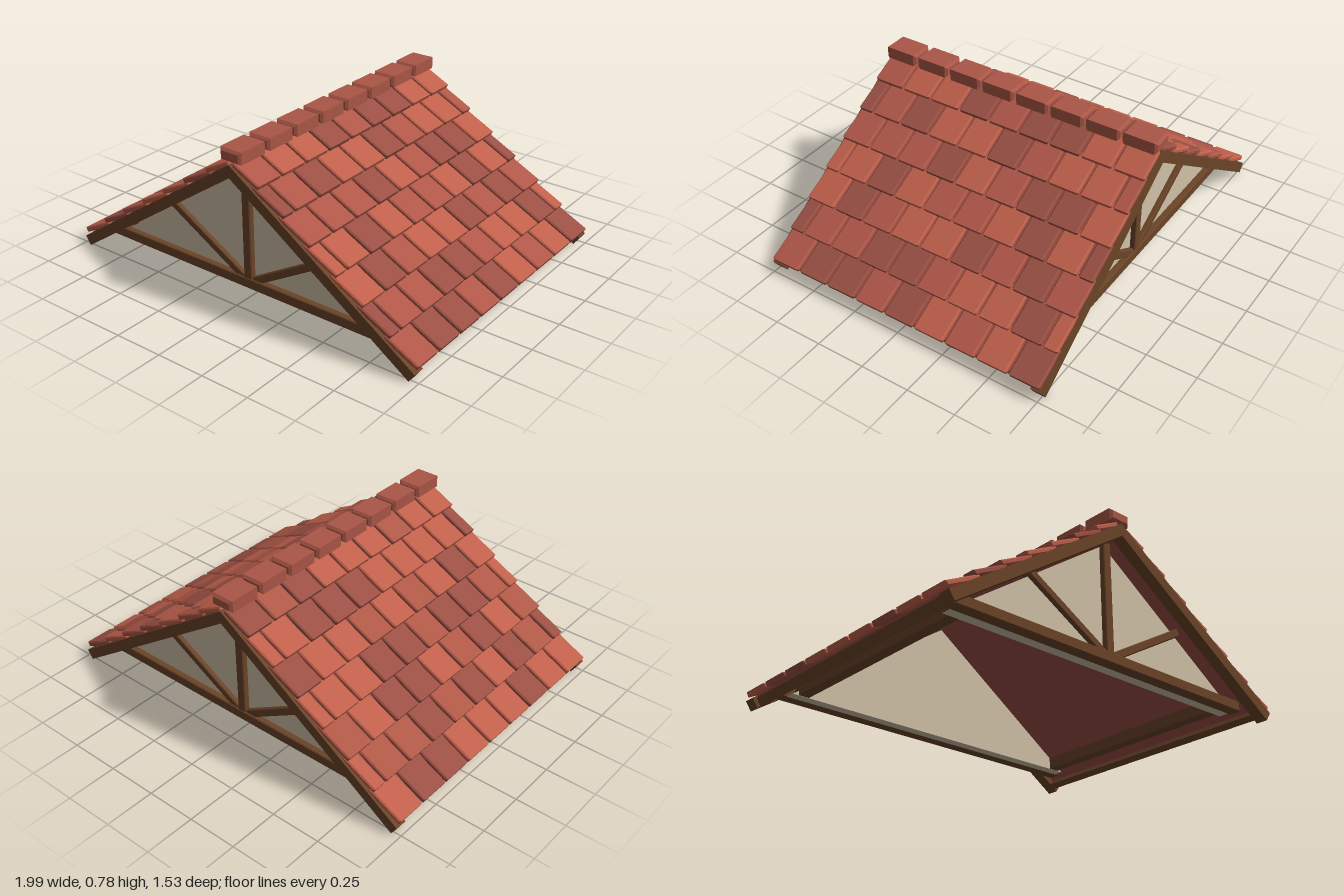
import * as THREE from 'three';

const PITCH = Math.atan(0.68); // roof slope
const APEX = 0.72;             // height where the two deck surfaces meet
const STEP = 0.169;            // tile spacing along and across the slope

const material = (color) => new THREE.MeshStandardMaterial({ color, flatShading: true });
const wood = material(0x6b4428);
const plaster = material(0xd2c3a8);
const deckRed = material(0x9c5044);
const capRed = material(0xaa5646);
const tileReds = [0xc0604c, 0xb05848, 0x9c5044].map(material);

// Box with chamfered edges, centred on its origin
function chamferBox(w, h, d, b = 0.004) {
  const x = w / 2 - b, y = h / 2 - b;
  const shape = new THREE.Shape([[-x, -y], [x, -y], [x, y], [-x, y]].map((p) => new THREE.Vector2(...p)));
  return new THREE.ExtrudeGeometry(shape, {
    depth: d - 2 * b, bevelEnabled: true, bevelThickness: b, bevelSize: b, bevelSegments: 1,
  }).translate(0, 0, -d / 2 + b);
}

// Flat outline in x/y given thickness from z0 to z1
function slab(points, z0, z1) {
  const shape = new THREE.Shape(points.map((p) => new THREE.Vector2(...p)));
  return new THREE.ExtrudeGeometry(shape, { depth: z1 - z0, bevelEnabled: false }).translate(0, 0, z0);
}

function add(parent, name, geometry, mat, x = 0, y = 0, z = 0) {
  const mesh = new THREE.Mesh(geometry, mat);
  mesh.name = name;
  mesh.position.set(x, y, z);
  parent.add(mesh);
  return mesh;
}

// Repeatable choice of tile shade
function shade(row, i, side) {
  const n = Math.sin(row * 12.99 + i * 78.23 + side * 37.7) * 43758.55;
  return tileReds[Math.floor((n - Math.floor(n)) * 3)];
}

// One roof side; local x runs down the slope, local y is its normal
function createSlope(side) {
  const slope = new THREE.Group();
  slope.name = 'roofSlope';
  slope.position.y = APEX;
  slope.rotation.z = -PITCH;

  add(slope, 'deck', new THREE.BoxGeometry(1.155, 0.022, 1.48), deckRed, 0.5875, -0.011, 0);
  add(slope, 'eaveBoard', chamferBox(0.035, 0.045, 1.47), wood, 1.157, -0.0325, 0);

  // Overlapping tiles, every second row shifted by half a tile
  const tilt = 0.13, gap = 0.013;
  for (let row = 0; row < 7; row++) {
    const length = row === 6 ? 0.16 : 0.195;
    const full = chamferBox(length, 0.026, STEP - gap, 0.006);
    const half = chamferBox(length, 0.026, STEP / 2 - gap, 0.006);
    const shifted = row % 2 === 1;
    const count = shifted ? 10 : 9;
    for (let i = 0; i < count; i++) {
      const end = shifted && (i === 0 || i === count - 1);
      let z = (i - (count - 1) / 2) * STEP;
      if (end) z -= Math.sign(z) * STEP / 4;
      const tile = add(slope, 'roofTile', end ? half : full, shade(row, i, side),
        1.185 - row * STEP - length / 2, 0.022 - Math.sin(tilt) * length / 2, z);
      tile.rotation.z = tilt;
    }
  }

  const holder = new THREE.Group();
  holder.name = side ? 'leftRoofSide' : 'rightRoofSide';
  holder.rotation.y = side ? 0 : Math.PI;
  holder.add(slope);
  return holder;
}

// Gable end facing +z: rafters, infill panel and truss
function createGable() {
  const gable = new THREE.Group();
  const c = Math.cos(PITCH), s = Math.sin(PITCH);
  const at = (d, n) => [d * c + n * s, APEX - d * s + n * c];
  const top = at(1.195, -0.002), foot = at(1.195, -0.055);
  const inner = APEX - 0.055 / c;
  add(gable, 'rafterPair', slab([
    [0, APEX - 0.003], [-top[0], top[1]], [-foot[0], foot[1]],
    [0, inner], foot, top,
  ], 0.705, 0.765), wood);

  add(gable, 'gablePanel', slab([[-0.86, 0.057], [0.86, 0.057], [0, 0.655]], 0.56, 0.64), plaster);
  add(gable, 'tieBeam', chamferBox(1.76, 0.052, 0.06), wood, 0, 0.081, 0.64);
  add(gable, 'kingPost', chamferBox(0.046, 0.56, 0.055), wood, 0, 0.38, 0.64);

  // Diagonal braces
  for (const m of [-1, 1]) {
    const dx = 0.44, dy = 0.255;
    const brace = add(gable, 'brace', chamferBox(Math.hypot(dx, dy), 0.038, 0.05), wood,
      m * 0.25, 0.225, 0.638);
    brace.rotation.z = m * Math.atan2(dy, dx);
  }
  return gable;
}

export function createModel() {
  const roof = new THREE.Group();
  roof.name = 'tiledRoof';
  roof.add(createSlope(1), createSlope(0));

  // Front and back gables
  for (const [name, turn] of [['frontGable', 0], ['backGable', Math.PI]]) {
    const gable = createGable();
    gable.name = name;
    gable.rotation.y = turn;
    roof.add(gable);
  }

  // Wall plates along both sides
  for (const m of [-1, 1]) {
    add(roof, 'wallPlate', chamferBox(0.055, 0.06, 1.2), wood, m * 0.8, 0.088, 0);
  }

  // Ridge caps
  const cap = chamferBox(0.12, 0.06, 0.178, 0.012);
  for (let i = 0; i < 8; i++) {
    add(roof, 'ridgeCap', cap, capRed, 0, 0.754, (i - 3.5) * 0.191);
  }
  return roof;
}
